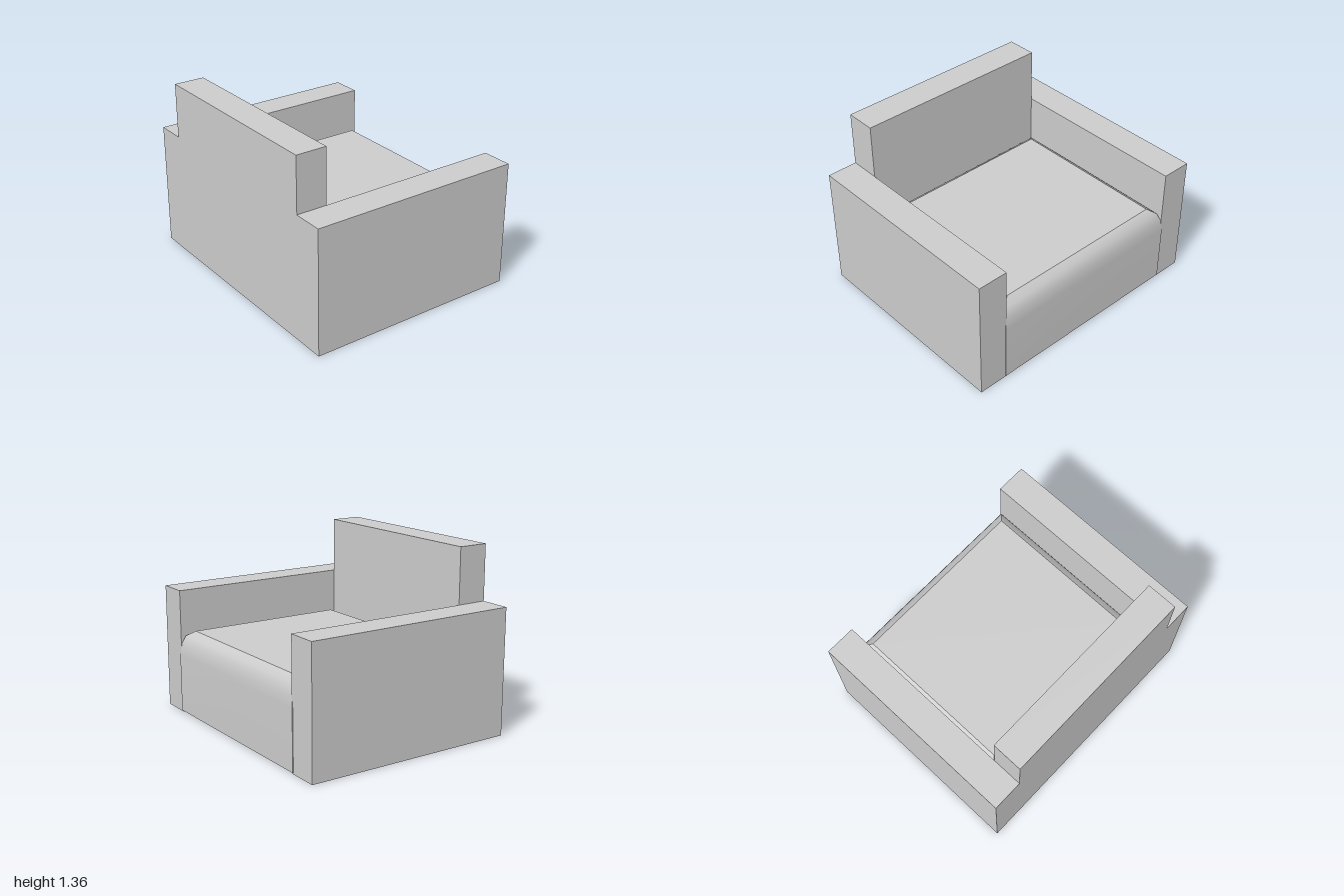
import * as THREE from 'three';

const material = new THREE.MeshStandardMaterial({ color: 0xcccccc });

// Box given by its minimum and maximum corners
function block(name, min, max) {
  const size = max.map((v, i) => v - min[i]);
  const mesh = new THREE.Mesh(new THREE.BoxGeometry(...size), material);
  mesh.position.set(...min.map((v, i) => (v + max[i]) / 2));
  mesh.name = name;
  return mesh;
}

// Rectangle corners inset from the seat outline, counter-clockwise from above
function corners(inset) {
  const back = -0.59 + inset, front = 0.818 - inset, z = 0.78 - inset;
  return [[back, z], [front, z], [front, -z], [back, -z]];
}

function surface(points, index) {
  const geometry = new THREE.BufferGeometry();
  geometry.setAttribute('position', new THREE.Float32BufferAttribute(points.flat(), 3));
  geometry.setIndex(index);
  geometry.computeVertexNormals();
  return new THREE.Mesh(geometry, material);
}

// Seat block with rounded upper edges, mitred at the corners
function createSeat() {
  const seat = new THREE.Group();
  seat.name = 'seat';
  const profile = [[0, 0.01], [0, 0.45], [0.01, 0.535], [0.035, 0.6], [0.09, 0.64]]; // inset, height
  for (let side = 0; side < 4; side++) {
    const points = [], index = [];
    profile.forEach(([inset, y], row) => {
      const c = corners(inset);
      for (const [x, z] of [c[side], c[(side + 1) % 4]]) points.push([x, y, z]);
      if (row) {
        const a = row * 2 - 2;
        index.push(a, a + 1, a + 3, a, a + 3, a + 2);
      }
    });
    const mesh = surface(points, index);
    mesh.name = 'seatSide';
    seat.add(mesh);
  }
  // Flat top and underside
  const top = surface(corners(0.09).map(([x, z]) => [x, 0.64, z]), [0, 1, 2, 0, 2, 3]);
  top.name = 'seatTop';
  const bottom = surface(corners(0).map(([x, z]) => [x, 0.01, z]), [0, 2, 1, 0, 3, 2]);
  bottom.name = 'seatUnderside';
  seat.add(top, bottom);
  return seat;
}

export function createModel() {
  const chair = new THREE.Group();
  chair.name = 'armchair';
  // The chair's open side faces +x
  chair.add(
    block('armrestNear', [-0.818, 0, 0.768], [0.812, 0.945, 1]),
    block('armrestFar', [-0.818, 0, -1], [0.812, 0.945, -0.768]),
    block('backrest', [-0.818, 0, -0.768], [-0.586, 1.36, 0.768]),
    createSeat()
  );
  return chair;
}
